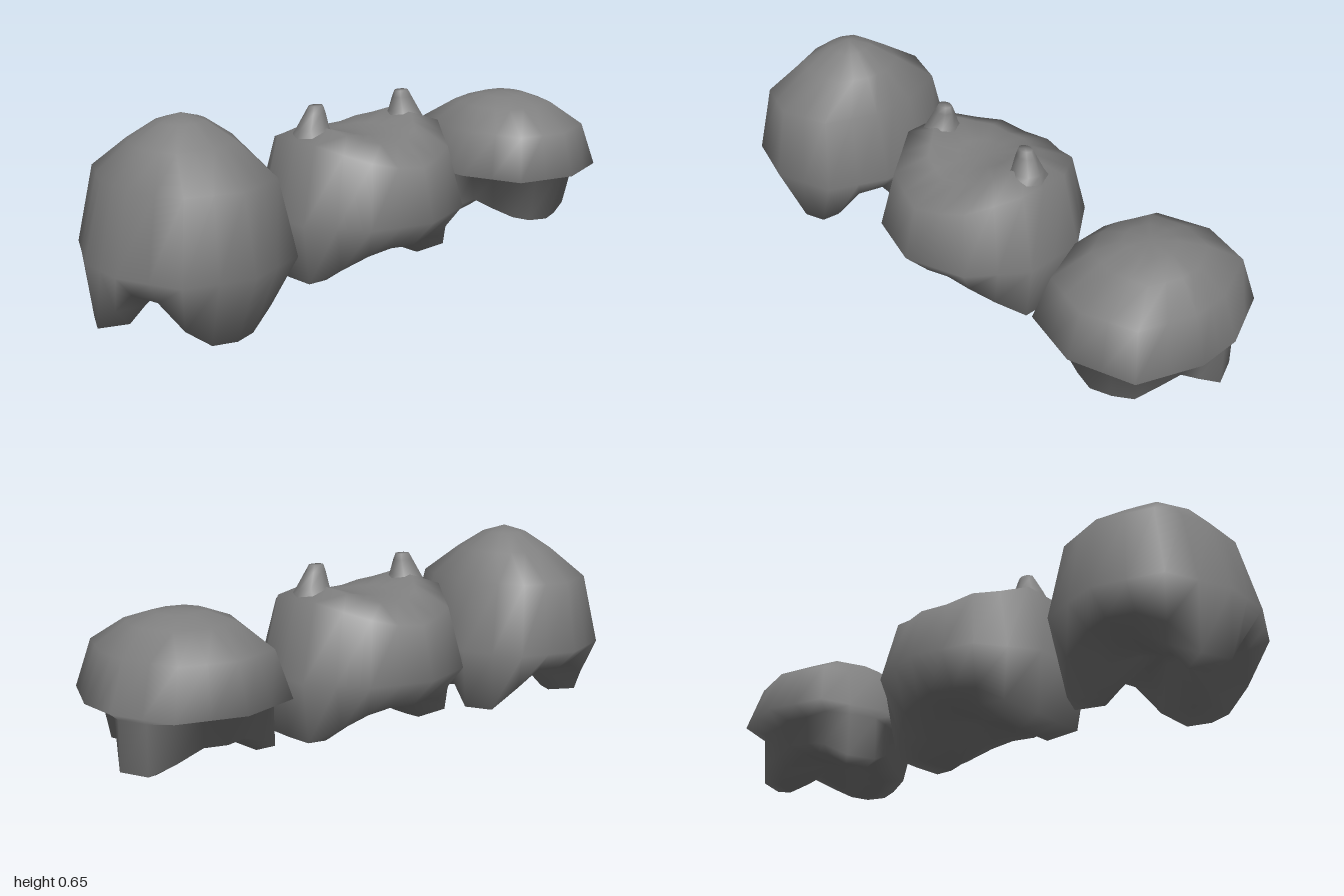
import * as THREE from 'three';
import { mergeVertices } from 'three/addons/utils/BufferGeometryUtils.js';

const mix = THREE.MathUtils.lerp;
const clamp = THREE.MathUtils.clamp;

// Ten-sided plan, mirrored from one quarter, with a midpoint on every edge
function makePlan([p0, p1, p2]) {
  const flip = (p, sx, sz) => [p[0] * sx, p[1] * sz];
  const corners = [p0, p1, p2, flip(p2, 1, -1), flip(p1, 1, -1), flip(p0, 1, -1),
    flip(p1, -1, -1), flip(p2, -1, -1), flip(p2, -1, 1), flip(p1, -1, 1)];
  return corners.flatMap((p, i) => {
    const q = corners[(i + 1) % corners.length];
    return [p, [(p[0] + q[0]) / 2, (p[1] + q[1]) / 2]];
  });
}

// Join closed rings, listed from bottom to top, into one smooth skin
function loft(rings) {
  const n = rings[0].length;
  const index = [];
  for (let i = 0; i < rings.length - 1; i++) {
    for (let j = 0; j < n; j++) {
      const k = (j + 1) % n;
      const a = i * n + j, b = i * n + k, c = (i + 1) * n + k, d = (i + 1) * n + j;
      index.push(a, b, c, a, c, d);
    }
  }
  let geometry = new THREE.BufferGeometry();
  geometry.setAttribute('position', new THREE.Float32BufferAttribute(rings.flat(2), 3));
  geometry.setIndex(index);
  geometry = mergeVertices(geometry, 1e-4);
  geometry.computeVertexNormals();
  return geometry;
}

// Domed body whose hem drops into feet at given directions.
// Dome rows are [x scale, z scale, height, rise towards the sides].
function bodyGeometry({ plan, dome, gap, feet }) {
  const points = makePlan(plan);
  const halfWidth = plan[2][0];

  // Nearest foot and how strongly it pulls the hem down
  const pull = points.map(([x, z]) => {
    const angle = THREE.MathUtils.radToDeg(Math.atan2(x, z));
    let best = { w: 0, foot: feet[0] };
    for (const foot of feet) {
      const away = Math.abs(((angle - foot.angle + 540) % 360) - 180);
      const w = clamp((foot.fade - away) / (foot.fade - foot.half), 0, 1);
      if (w > best.w) best = { w, foot };
    }
    return best;
  });

  const hem = (rKey, yKey) => points.map(([x, z], i) => {
    const { w, foot } = pull[i];
    const r = mix(gap[rKey], foot[rKey], w);
    return [x * r, mix(gap[yKey], foot[yKey], w), z * r];
  });
  const ring = ([rx, rz, y, rise = 0]) => points.map(([x, z]) =>
    [x * rx, y + rise * (x * rx / halfWidth) ** 2, z * rz]);

  return loft([
    ring([0, 0, gap.centre]),
    ring([0.2, 0.2, gap.centre]),
    hem('inner', 'innerY'),
    hem('outer', 'outerY'),
    ...(gap.lip ? [hem('lip', 'lipY')] : []),
    ...dome.map(ring),
  ]);
}

// Short tapering ear with a rounded section
function earGeometry() {
  const sections = [
    // centre x, half x, half z, y
    [0.2, 0.075, 0.1, 0.47],
    [0.203, 0.055, 0.052, 0.52],
    [0.193, 0.036, 0.03, 0.57],
    [0.19, 0.026, 0.02, 0.592],
    [0.19, 0, 0, 0.592],
  ];
  return loft(sections.map(([cx, hx, hz, y]) =>
    Array.from({ length: 8 }, (_, i) => {
      const t = (i / 8) * Math.PI * 2;
      return [cx + Math.sin(t) * hx, y, Math.cos(t) * hz];
    })));
}

export function createModel() {
  const model = new THREE.Group();
  const grey = new THREE.MeshStandardMaterial({ color: 0x7f7f7f });
  grey.name = 'plain grey';

  const add = (name, geometry, x, parent = model) => {
    const mesh = new THREE.Mesh(geometry, grey);
    mesh.name = name;
    mesh.position.x = x;
    parent.add(mesh);
    return mesh;
  };

  // Tall pointed dome on three feet
  const tallFoot = { half: 13, fade: 38, inner: 0.6, innerY: 0.012, outer: 0.92, outerY: 0.015 };
  add('tallDome', bodyGeometry({
    plan: [[0, 0.352], [0.205, 0.285], [0.295, 0.085]],
    dome: [[1, 1, 0.225], [0.8, 0.87, 0.468], [0.52, 0.47, 0.565], [0.24, 0.21, 0.625], [0, 0, 0.647]],
    gap: { centre: 0.14, inner: 0.45, innerY: 0.14, outer: 0.8, outerY: 0.155 },
    feet: [
      { angle: 0, half: 22, fade: 56, inner: 0.43, innerY: 0.02, outer: 0.72, outerY: 0.002 },
      { ...tallFoot, angle: 116 },
      { ...tallFoot, angle: 244 },
    ],
  }), -0.705);

  // Eared body with a saddle top and a foot on each side
  const eared = new THREE.Group();
  eared.name = 'earedBody';
  model.add(eared);
  const sideFoot = { half: 17, fade: 60, inner: 0.63, innerY: 0.015, outer: 0.92, outerY: 0.033 };
  add('saddleBody', bodyGeometry({
    plan: [[0, 0.352], [0.205, 0.285], [0.335, 0.108]],
    dome: [[1, 1, 0.237], [0.82, 0.87, 0.412, 0.115], [0.55, 0.52, 0.468, 0.18],
      [0.25, 0.25, 0.483, 0.1], [0, 0, 0.485]],
    gap: { centre: 0.125, inner: 0.45, innerY: 0.125, outer: 0.74, outerY: 0.14 },
    feet: [{ ...sideFoot, angle: 90 }, { ...sideFoot, angle: 270 }],
  }), 0, eared);
  add('leftEar', earGeometry(), 0, eared);
  const rightEar = add('rightEar', earGeometry(), 0, eared);
  rightEar.rotation.y = Math.PI;

  // Low cap with an overhanging rim on three short feet
  const capFoot = {
    half: 12, fade: 38, inner: 0.72, innerY: 0.068, outer: 0.91, outerY: 0.08, lip: 0.9, lipY: 0.235,
  };
  add('lowCap', bodyGeometry({
    plan: [[0, 0.342], [0.205, 0.28], [0.287, 0.075]],
    dome: [[1, 1, 0.257], [0.82, 0.87, 0.407], [0.54, 0.49, 0.481], [0.28, 0.23, 0.509], [0, 0, 0.515]],
    gap: { centre: 0.14, inner: 0.45, innerY: 0.14, outer: 0.69, outerY: 0.147, lip: 0.74, lipY: 0.24 },
    feet: [
      { angle: 0, half: 16, fade: 76, inner: 0.5, innerY: 0.062, outer: 0.68, outerY: 0.073,
        lip: 0.79, lipY: 0.24 },
      { ...capFoot, angle: 116 },
      { ...capFoot, angle: 244 },
    ],
  }), 0.711);

  return model;
}
